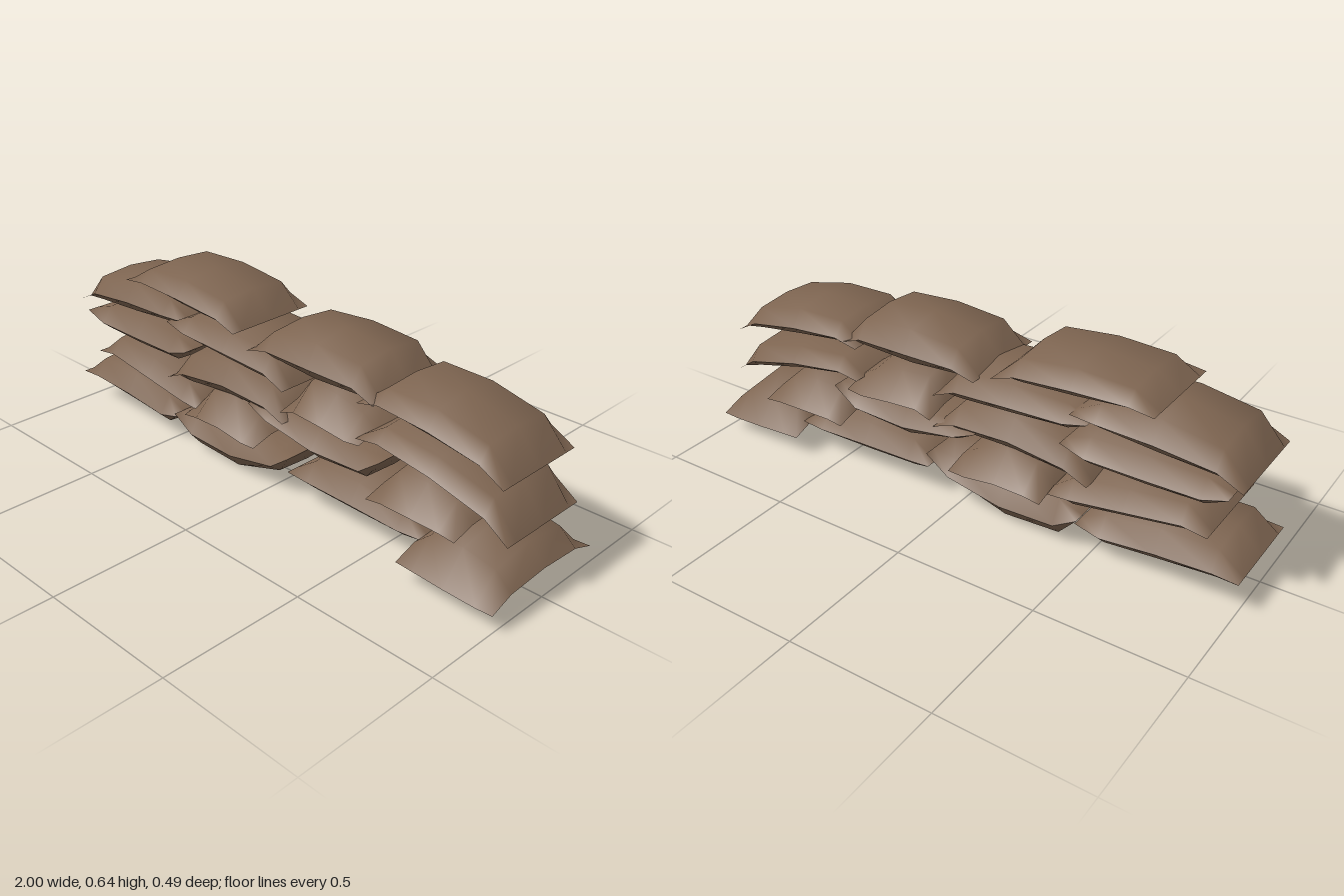
import * as THREE from 'three';

const burlap = new THREE.MeshStandardMaterial({ color: 0x7d6450 });
burlap.name = 'brown burlap';

// One half of a bag: a 5 x 5 sheet from rim to rim, bulging up (top) or down (bottom).
function sheet(xs, ys, rim, zs, droop, up) {
  const bulge = [0, 0.82, 1, 0.82, 0];
  const pos = [], index = [];
  for (let i = 0; i < 5; i++) {
    for (let j = 0; j < 5; j++) {
      const v = (j - 2) / 2;
      const y = rim[i] + (ys[i] - rim[i]) * bulge[j] - droop * v * v;
      pos.push(xs[i], y, zs[j]);
    }
  }
  for (let i = 0; i < 4; i++) {
    for (let j = 0; j < 4; j++) {
      const a = i * 5 + j, b = a + 1, c = a + 6, d = a + 5;
      if (up) index.push(a, b, c, a, c, d);
      else index.push(a, c, b, a, d, c);
    }
  }
  const g = new THREE.BufferGeometry();
  g.setAttribute('position', new THREE.Float32BufferAttribute(pos, 3));
  g.setIndex(index);
  g.computeVertexNormals(); // each half smooth, sharp seam at the rim
  return g;
}

// A pillow-shaped sandbag. tip heights, then heights of three stations on top and below.
function sandbag(name, x0, x1, tipL, tipR, top, bottom, z0 = -0.19, z1 = 0.155, droop = 0) {
  const header = droop > 0; // short bags laid across the wall
  const dx = header ? 0.06 : 0.085, dz = header ? 0.085 : 0.042;
  const xs = [x0, x0 + dx, (x0 + x1) / 2, x1 - dx, x1];
  const zs = [z0, z0 + dz, (z0 + z1) / 2, z1 - dz, z1];
  const t = [tipL, ...top, tipR], b = [tipL, ...bottom, tipR];
  const rim = t.map((y, i) => b[i] + (y - b[i]) * 0.38);
  const bag = new THREE.Group();
  bag.name = name;
  for (const up of [true, false]) {
    const mesh = new THREE.Mesh(sheet(xs, up ? t : b, rim, zs, droop, up), burlap);
    mesh.name = up ? 'bagTop' : 'bagUnderside';
    bag.add(mesh);
  }
  return bag;
}

export function createModel() {
  const wall = new THREE.Group();
  wall.name = 'sandbagWall';

  // Bottom course
  wall.add(
    sandbag('bottomBagRight', -1, -0.455, 0.11, 0.11, [0.19, 0.19, 0.165], [0.07, 0.055, 0.04]),
    sandbag('bottomBagCentre', -0.46, 0.115, 0.12, 0.165, [0.165, 0.165, 0.165], [0.01, 0, 0.065]),
    sandbag('bottomBagInner', 0.11, 0.66, 0.115, 0.11, [0.185, 0.185, 0.17], [0.065, 0.06, 0.06]),
    sandbag('bottomHeaderLeft', 0.65, 1, 0.11, 0.1, [0.175, 0.19, 0.165], [0.065, 0.045, 0.055], -0.245, 0.245, 0.04),
  );

  // Second course
  wall.add(
    sandbag('secondBagRight', -0.89, -0.34, 0.23, 0.18, [0.31, 0.285, 0.26], [0.2, 0.17, 0.14]),
    sandbag('secondHeaderCentre', -0.355, -0.01, 0.2, 0.2, [0.28, 0.295, 0.25], [0.165, 0.16, 0.165], -0.24, 0.195, 0.03),
    sandbag('secondBagInner', -0.075, 0.5, 0.3, 0.305, [0.31, 0.31, 0.31], [0.235, 0.185, 0.2]),
    sandbag('secondHeaderLeft', 0.46, 0.8, 0.2, 0.2, [0.28, 0.285, 0.265], [0.165, 0.16, 0.17], -0.22, 0.17, 0.03),
  );

  // Third course
  wall.add(
    sandbag('thirdBagRight', -0.94, -0.39, 0.38, 0.38, [0.42, 0.425, 0.42], [0.31, 0.305, 0.31]),
    sandbag('thirdBagCentre', -0.49, 0.085, 0.255, 0.28, [0.37, 0.405, 0.385], [0.245, 0.265, 0.265]),
    sandbag('thirdHeaderInner', 0.075, 0.415, 0.35, 0.36, [0.445, 0.435, 0.405], [0.325, 0.32, 0.32], -0.22, 0.155, 0.03),
    sandbag('thirdBagLeft', 0.4, 0.97, 0.35, 0.225, [0.415, 0.395, 0.345], [0.33, 0.295, 0.245]),
  );

  // Fourth course
  wall.add(
    sandbag('fourthBagRight', -0.98, -0.42, 0.415, 0.49, [0.525, 0.56, 0.545], [0.415, 0.425, 0.445]),
    sandbag('fourthBagCentre', -0.48, 0.085, 0.47, 0.395, [0.51, 0.515, 0.505], [0.41, 0.395, 0.385]),
    sandbag('fourthBagInner', -0.075, 0.465, 0.49, 0.48, [0.58, 0.6, 0.585], [0.47, 0.455, 0.465]),
    sandbag('fourthBagLeft', 0.4, 0.94, 0.47, 0.395, [0.545, 0.545, 0.5], [0.455, 0.43, 0.405]),
  );

  // Crowning bag
  wall.add(
    sandbag('topBag', -0.695, -0.14, 0.565, 0.525, [0.625, 0.637, 0.615], [0.545, 0.525, 0.515]),
  );

  return wall;
}
